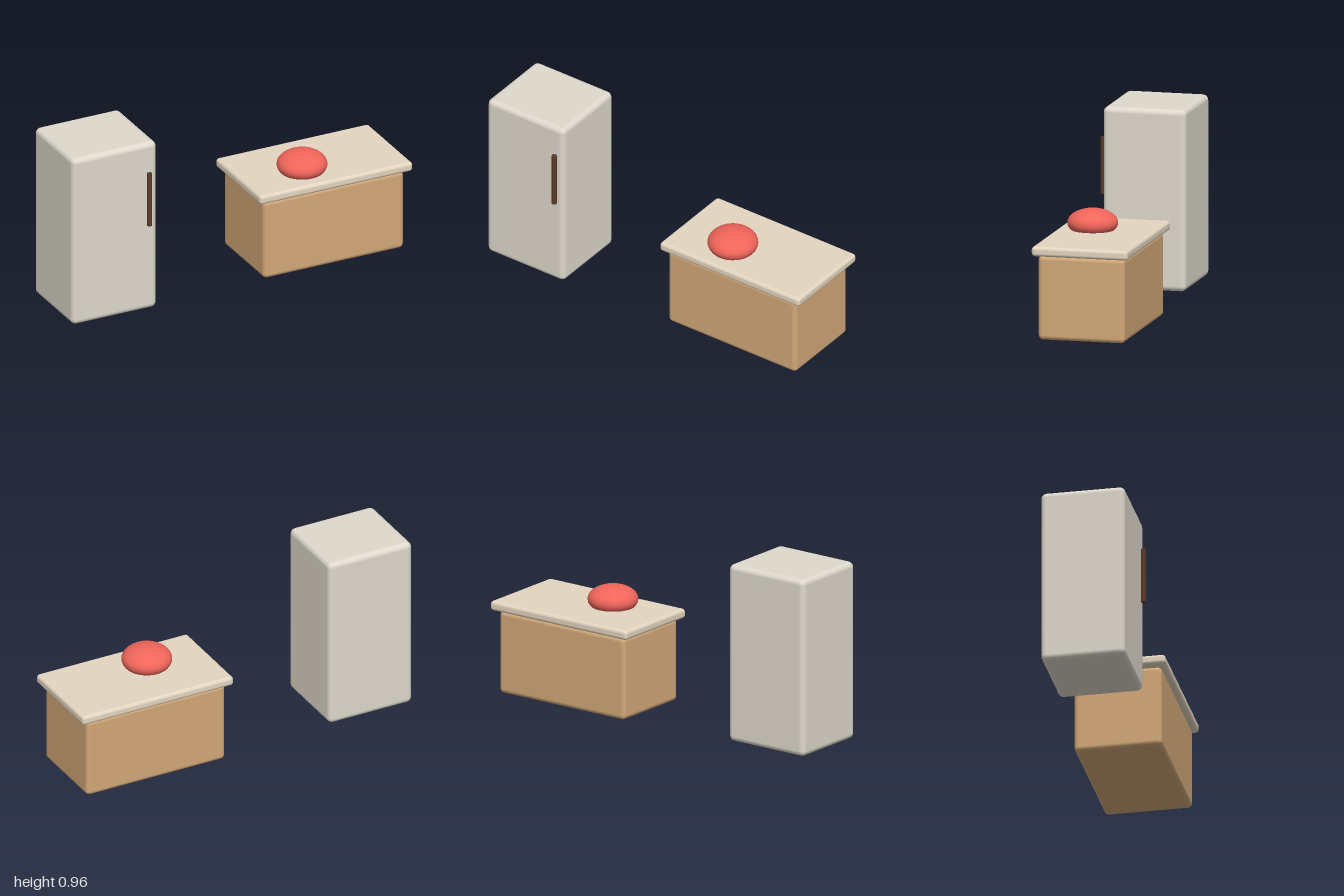
import * as THREE from 'three';
import { RoundedBoxGeometry } from 'three/addons/geometries/RoundedBoxGeometry.js';

const mat = (color) => new THREE.MeshStandardMaterial({ color });

// Rounded box given by its min and max corners
function roundedBox(name, min, max, radius, material) {
  const [w, h, d] = max.map((v, i) => v - min[i]);
  const mesh = new THREE.Mesh(new RoundedBoxGeometry(w, h, d, 4, radius), material);
  mesh.name = name;
  mesh.position.set(...max.map((v, i) => (v + min[i]) / 2));
  return mesh;
}

export function createModel() {
  const model = new THREE.Group();
  model.name = 'kitchenSet';

  // Refrigerator with an upright bar handle
  const fridge = new THREE.Group();
  fridge.name = 'refrigerator';
  const handle = new THREE.Mesh(new THREE.CylinderGeometry(0.0135, 0.0135, 0.304, 16), mat(0x5c3a28));
  handle.name = 'refrigeratorHandle';
  handle.position.set(-0.556, 0.645, 0.263);
  fridge.add(
    roundedBox('refrigeratorBody', [-1, 0, -0.195], [-0.504, 0.965, 0.252], 0.03, mat(0xded9cc)),
    handle,
  );

  // Counter: cabinet under an overhanging worktop
  const counter = new THREE.Group();
  counter.name = 'counter';
  counter.add(
    roundedBox('counterCabinet', [0.139, 0, -0.249], [0.961, 0.449, 0.217], 0.025, mat(0xd2a878)),
    roundedBox('counterTop', [0.104, 0.449, -0.276], [1, 0.501, 0.243], 0.018, mat(0xe3d5c0)),
  );

  // Flattened ball resting in the worktop
  const bowl = new THREE.Mesh(new THREE.SphereGeometry(0.133, 32, 24), mat(0xf0655a));
  bowl.name = 'flattenedBall';
  bowl.scale.y = 0.56;
  bowl.position.set(0.443, 0.537, 0.056);

  model.add(fridge, counter, bowl);
  return model;
}
